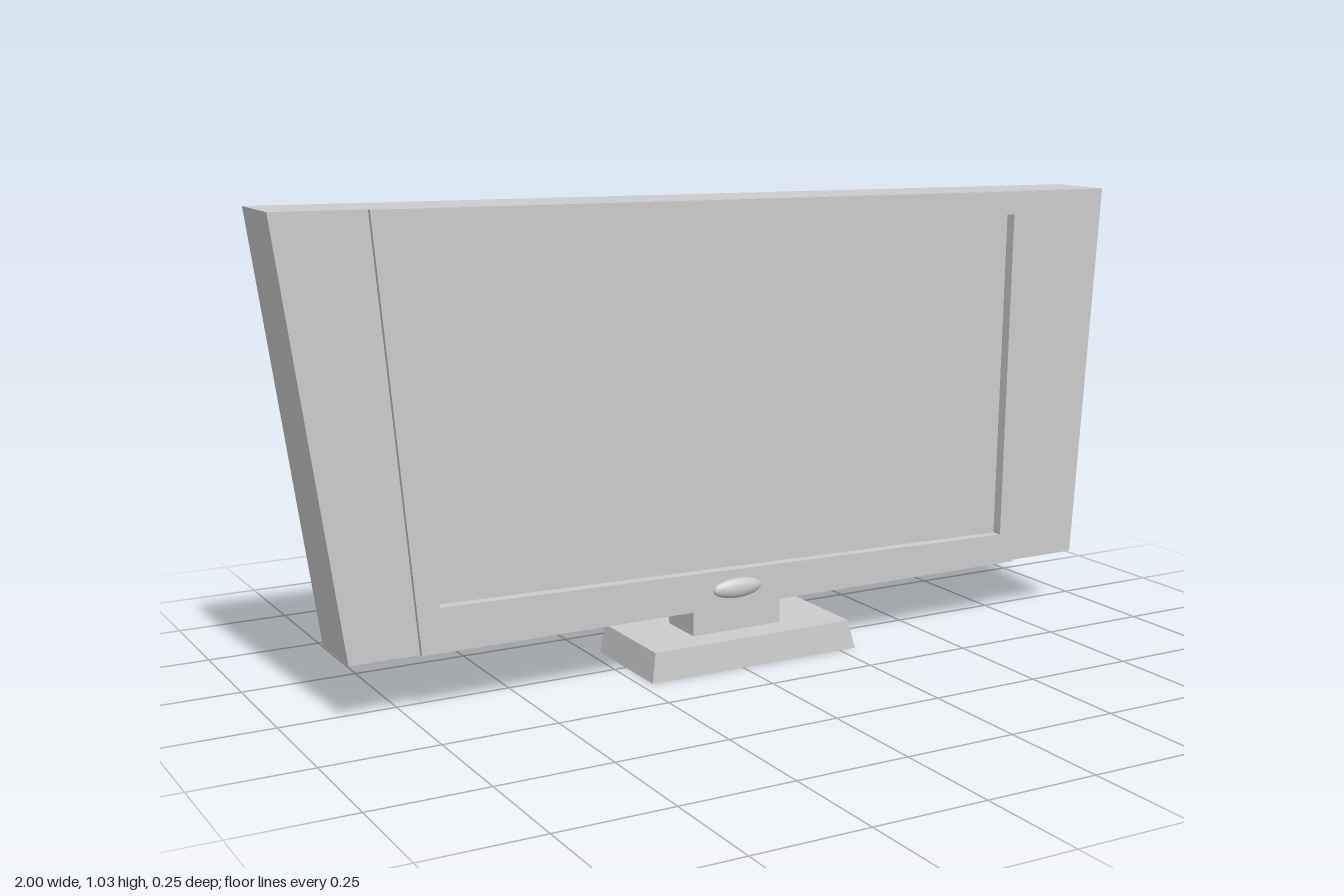
import * as THREE from 'three';

const material = new THREE.MeshStandardMaterial({ color: 0xcccccc });

// Slightly skewed outlines, counter-clockwise seen from the front
const cabinetOutline = [[-0.875, 0.13], [0.94, 0.13], [1, 1], [-1, 1.03]];
const panelOutline = [[-0.725, 0.13], [0.76, 0.13], [0.77, 1.003], [-0.803, 1.027]];
const screenOutline = [[-0.685, 0.225], [0.72, 0.2], [0.735, 0.952], [-0.745, 0.97]];

const points = (list) => list.map(([x, y]) => new THREE.Vector2(x, y));

// Flat plate between two depths, with an optional opening
function plate(name, outline, z0, z1, opening) {
  const shape = new THREE.Shape(points(outline));
  if (opening) shape.holes.push(new THREE.Path(points(opening)));
  const geometry = new THREE.ExtrudeGeometry(shape, { depth: z1 - z0, bevelEnabled: false });
  geometry.translate(0, 0, z0);
  const mesh = new THREE.Mesh(geometry, material);
  mesh.name = name;
  return mesh;
}

// Box whose top and bottom rectangles [x0, x1, z0, z1] may differ
function taperedBox(name, y0, y1, bottom, top) {
  const geometry = new THREE.BoxGeometry(1, 1, 1);
  const p = geometry.attributes.position;
  for (let i = 0; i < p.count; i++) {
    const upper = p.getY(i) > 0;
    const r = upper ? top : bottom;
    p.setXYZ(i, r[p.getX(i) > 0 ? 1 : 0], upper ? y1 : y0, r[p.getZ(i) > 0 ? 3 : 2]);
  }
  geometry.computeVertexNormals();
  const mesh = new THREE.Mesh(geometry, material);
  mesh.name = name;
  return mesh;
}

export function createModel() {
  const model = new THREE.Group();
  model.name = 'television';

  // Cabinet: solid back, whose front is the screen, and a surround
  model.add(plate('cabinetAndScreen', cabinetOutline, -0.078, 0.065));
  model.add(plate('cabinetSurround', cabinetOutline, 0.065, 0.079, screenOutline));

  // Raised front panel around the recessed screen
  model.add(plate('frontPanel', panelOutline, 0.079, 0.09, screenOutline));

  // Oval button under the screen
  const button = new THREE.Mesh(new THREE.SphereGeometry(1, 32, 16), material);
  button.name = 'powerButton';
  button.scale.set(0.06, 0.022, 0.015);
  button.position.set(0.005, 0.171, 0.09);
  model.add(button);

  // Stand
  const neck = [-0.085, 0.135, -0.056, 0.056];
  model.add(taperedBox('standNeck', 0.06, 0.135, neck, neck));
  model.add(taperedBox('standBase', 0, 0.065,
    [-0.223, 0.29, -0.126, 0.127], [-0.213, 0.275, -0.119, 0.121]));

  return model;
}
